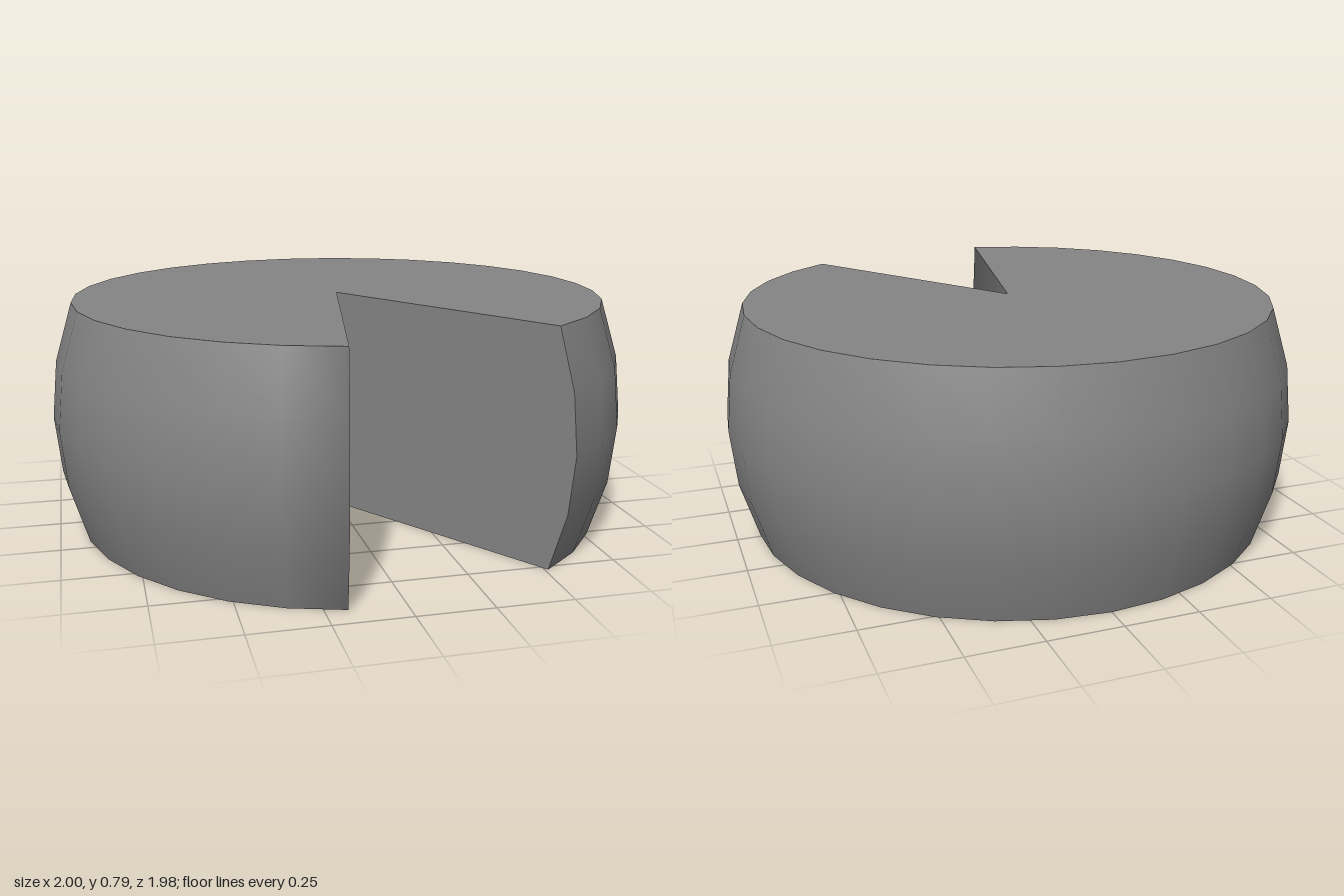
import * as THREE from 'three';

const STEP = Math.PI / 16;          // 32-sided wheel
const START = 3 * STEP;             // edge of the notch on the left (+x)
const SEGMENTS = 28;                // four of the 32 sides are cut away
const LENGTH = SEGMENTS * STEP;
const HEIGHT = 0.79;
const RADII = [0.92, 0.98, 1, 0.98, 0.92];
const profile = RADII.map((r, i) => new THREE.Vector2(r, (HEIGHT * i) / 4));

// Flat wall from the axis to the bulging rim; side picks which way it faces.
function wallGeometry(angle, side) {
  const geo = new THREE.PlaneGeometry(1, 1, 1, 4);
  const pos = geo.attributes.position;
  for (let i = 0; i < pos.count; i++) {
    const p = profile[4 - Math.floor(i / 2)];
    const outer = pos.getX(i) * side > 0;
    pos.setXYZ(i, outer ? side * p.x : 0, p.y, 0);
  }
  geo.rotateY(angle - (side * Math.PI) / 2);
  return geo;
}

// Softens the edge where the end wall meets the rim by sharing averaged normals.
function blendEdge(rim, wall) {
  const a = rim.attributes.normal;
  const b = wall.attributes.normal;
  for (let j = 0; j < 5; j++) {
    const ia = SEGMENTS * 5 + j;
    const ib = (4 - j) * 2;
    const n = new THREE.Vector3().fromBufferAttribute(a, ia)
      .add(new THREE.Vector3().fromBufferAttribute(b, ib)).normalize();
    a.setXYZ(ia, n.x, n.y, n.z);
    b.setXYZ(ib, n.x, n.y, n.z);
  }
}

export function createModel() {
  const group = new THREE.Group();
  group.name = 'notchedWheel';
  const material = new THREE.MeshStandardMaterial({ color: 0x858585 });
  const add = (name, geo) => {
    const mesh = new THREE.Mesh(geo, material);
    mesh.name = name;
    group.add(mesh);
  };

  // Bulging outer rim and the two walls of the notch
  const rim = new THREE.LatheGeometry(profile, SEGMENTS, START, LENGTH);
  rim.computeVertexNormals();
  const rightWall = wallGeometry(START + LENGTH, -1);
  blendEdge(rim, rightWall);
  add('rim', rim);
  add('rightNotchWall', rightWall);
  add('leftNotchWall', wallGeometry(START, 1));

  // Flat top and bottom
  const top = new THREE.CircleGeometry(RADII[4], SEGMENTS, START - Math.PI / 2, LENGTH);
  add('top', top.rotateX(-Math.PI / 2).translate(0, HEIGHT, 0));
  const bottom = new THREE.CircleGeometry(RADII[0], SEGMENTS, Math.PI / 2 - START - LENGTH, LENGTH);
  add('bottom', bottom.rotateX(Math.PI / 2));

  group.position.z = 0.01;
  return group;
}
